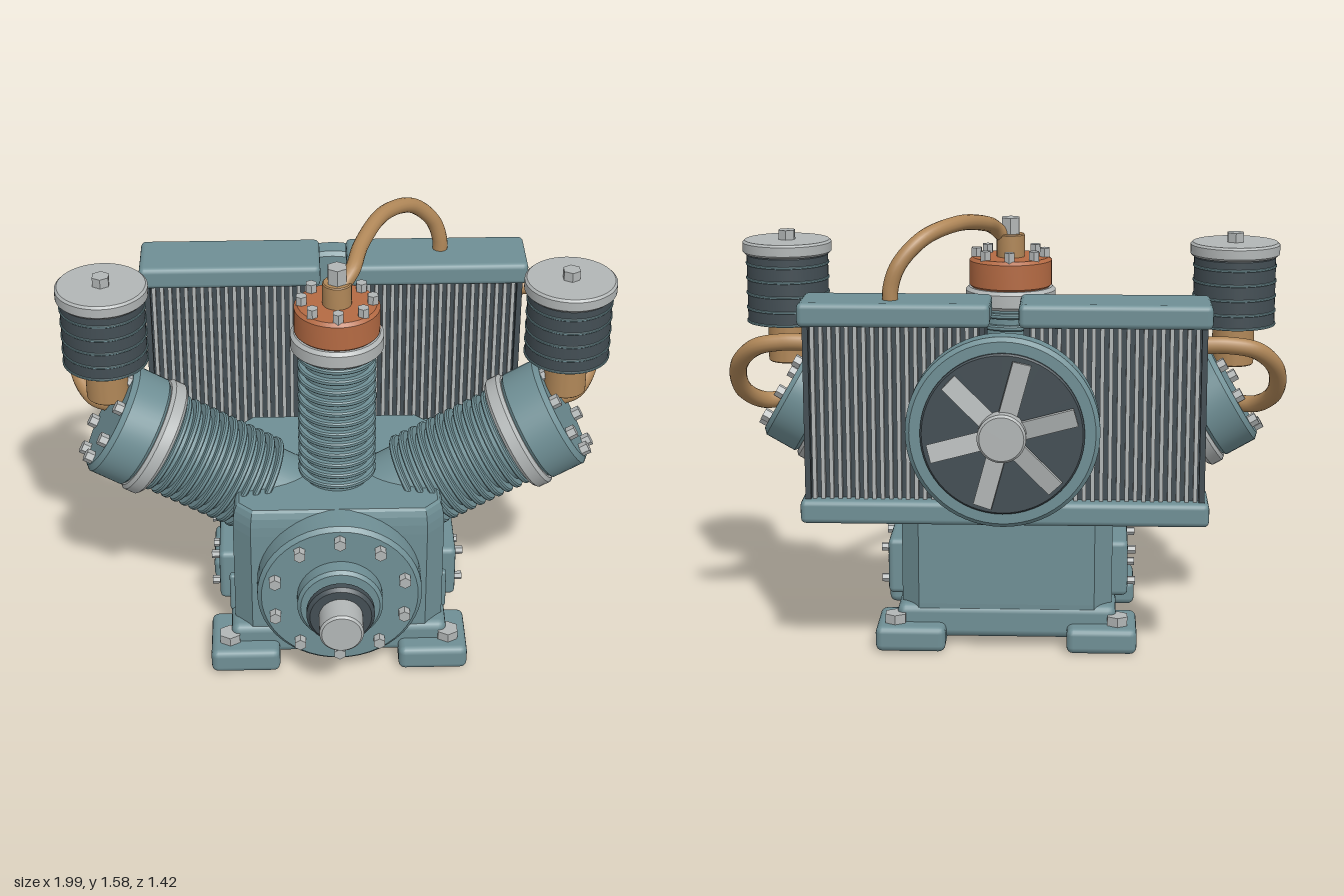
import * as THREE from 'three';
import { toCreasedNormals } from 'three/addons/utils/BufferGeometryUtils.js';
import { RoundedBoxGeometry } from 'three/addons/geometries/RoundedBoxGeometry.js';

const material = (name, color) => {
  const m = new THREE.MeshStandardMaterial({ color });
  m.name = name;
  return m;
};

export function createModel() {
  const teal = material('teal paint', 0x6f8f95);
  const dark = material('dark metal', 0x434e54);
  const steel = material('light steel', 0xb2b6b6);
  const copper = material('copper pipe', 0xb08758);
  const orange = material('orange head', 0xb46a43);
  const model = new THREE.Group();
  model.name = 'airCompressor';

  const add = (parent, name, geo, mat, x = 0, y = 0, z = 0) => {
    const m = new THREE.Mesh(geo, mat);
    m.name = name;
    m.position.set(x, y, z);
    parent.add(m);
    return m;
  };
  const group = (name, parent = model) => {
    const g = new THREE.Group();
    g.name = name;
    parent.add(g);
    return g;
  };
  // Bevelled disc standing on y0 and reaching y1
  const disc = (parent, name, r, y0, y1, mat, bevel = 0.012, sides = 48) => {
    const pts = [[0, y0], [r - bevel, y0], [r, y0 + bevel], [r, y1 - bevel], [r - bevel, y1], [0, y1]]
      .map(([a, b]) => new THREE.Vector2(a, b));
    return add(parent, name, toCreasedNormals(new THREE.LatheGeometry(pts, sides), 0.6), mat);
  };
  const box = (parent, name, w, h, d, mat, x, y, z, r = 0.02) =>
    add(parent, name, new RoundedBoxGeometry(w, h, d, 2, r), mat, x, y, z);
  const hex = (parent, name, r, h, x, y, z) =>
    add(parent, name, toCreasedNormals(new THREE.CylinderGeometry(r, r, h, 6), 0.5), steel, x, y + h / 2, z);
  const boltRing = (parent, count, ring, y, r = 0.022, h = 0.03) => {
    for (let i = 0; i < count; i++) {
      const a = (i / count) * Math.PI * 2;
      hex(parent, 'bolt', r, h, Math.sin(a) * ring, y, Math.cos(a) * ring);
    }
  };
  const pipe = (name, pts, r) => {
    const curve = new THREE.CatmullRomCurve3(pts.map(p => new THREE.Vector3(...p)));
    add(model, name, new THREE.TubeGeometry(curve, 48, r, 14), copper);
  };
  // Finned barrel along y
  const barrel = (parent, core, fin, y0, y1, first, count) => {
    disc(parent, 'barrelCore', core, y0, y1, teal, 0.002);
    const step = (y1 - first) / count;
    for (let i = 0; i < count; i++) {
      const y = first + i * step;
      disc(parent, 'coolingFin', fin, y, y + 0.02, teal, 0.005);
    }
  };

  // Crankcase: chamfered plan with a bevelled top
  const plan = new THREE.Shape();
  const [hw, hd, c] = [0.36, 0.31, 0.05];
  [[-hw + c, -hd], [hw - c, -hd], [hw, -hd + c], [hw, hd - c], [hw - c, hd], [-hw + c, hd], [-hw, hd - c], [-hw, -hd + c]]
    .forEach(([x, y], i) => (i ? plan.lineTo(x, y) : plan.moveTo(x, y)));
  const caseGeo = new THREE.ExtrudeGeometry(plan, {
    depth: 0.4, bevelEnabled: true, bevelThickness: 0.1, bevelSize: 0.025, bevelSegments: 4,
  });
  caseGeo.rotateX(-Math.PI / 2);
  add(model, 'crankcase', caseGeo, teal, 0, 0.17, 0.055);
  box(model, 'basePlate', 0.8, 0.125, 0.685, teal, 0, 0.103, 0.058, 0.03);

  // Feet, side covers and ribs
  for (const s of [1, -1]) {
    for (const z of [0.345, -0.228]) {
      box(model, 'foot', 0.255, 0.095, 0.255, teal, s * 0.348, 0.053, z, 0.025);
      hex(model, 'footBolt', 0.042, 0.035, s * 0.405, 0.1, z > 0 ? 0.388 : -0.28);
    }
    box(model, 'sideCover', 0.08, 0.21, 0.38, teal, s * 0.403, 0.27, 0.035, 0.02);
    box(model, 'sideRib', 0.06, 0.16, 0.03, teal, s * 0.375, 0.225, 0.255, 0.01);
    for (const y of [0.205, 0.325]) for (const z of [0.155, -0.082]) {
      const b = hex(model, 'coverBolt', 0.016, 0.035, s * 0.455, y, z);
      b.position.y = y;
      b.rotation.z = Math.PI / 2;
    }
  }

  // Front bearing flange and shaft; local y points to the front
  const front = group('driveEnd');
  front.position.set(0, 0.37, 0);
  front.rotation.x = Math.PI / 2;
  disc(front, 'bearingFlange', 0.3, 0.35, 0.485, teal, 0.015);
  disc(front, 'bearingCap', 0.155, 0.47, 0.55, teal, 0.012);
  disc(front, 'sealNeck', 0.085, 0.5, 0.6, dark);
  disc(front, 'sealRing', 0.123, 0.56, 0.608, dark);
  disc(front, 'driveShaft', 0.079, 0.56, 0.71, steel, 0.008);
  boltRing(front, 10, 0.247, 0.48, 0.023, 0.038);

  // Upright high-pressure cylinder
  const mid = group('centreCylinder');
  mid.position.z = 0.13;
  barrel(mid, 0.12, 0.142, 0.6, 1.22, 0.69, 12);
  disc(mid, 'headGasketRing', 0.167, 1.21, 1.28, steel);
  disc(mid, 'centreHead', 0.153, 1.275, 1.39, orange);
  boltRing(mid, 8, 0.126, 1.385, 0.021, 0.037);
  disc(mid, 'outletStub', 0.052, 1.38, 1.475, copper, 0.004, 24);
  hex(mid, 'outletNut', 0.037, 0.065, 0, 1.47, 0);

  // Inclined cylinders, intake filters and cross pipes
  for (const s of [1, -1]) {
    const side = group(s > 0 ? 'leftCylinder' : 'rightCylinder');
    side.position.set(0, 0.43, 0.09);
    side.rotation.z = -s * Math.PI / 3;
    barrel(side, 0.158, 0.188, 0.2, 0.75, 0.33, 11);
    disc(side, 'headRing', 0.22, 0.742, 0.807, steel);
    disc(side, 'cylinderHead', 0.21, 0.8, 0.955, teal, 0.018);
    boltRing(side, 8, 0.167, 0.95, 0.024, 0.035);

    const filter = group('intakeFilter');
    filter.position.set(s * 0.826, 0, 0.09);
    disc(filter, 'intakeStub', 0.077, 1.0, 1.16, copper, 0.004);
    disc(filter, 'filterBody', 0.15, 1.148, 1.41, dark, 0.01);
    for (const y of [1.15, 1.2, 1.255, 1.31, 1.365]) disc(filter, 'filterBand', 0.154, y, y + 0.009, teal, 0.002);
    disc(filter, 'filterCap', 0.164, 1.405, 1.455, steel, 0.008);
    hex(filter, 'filterNut', 0.033, 0.035, 0, 1.455, 0);

    pipe('sidePipe', [[0.82, 0.88, -0.03], [0.9, 0.885, -0.08], [0.96, 0.95, -0.18],
      [0.955, 1.06, -0.28], [0.88, 1.14, -0.355], [0.78, 1.162, -0.375], [0.68, 1.162, -0.375]]
      .map(([x, y, z]) => [s * x, y, z]), 0.031);

    // Radiator: two tanks, side plates, dark core and vertical tubes
    const rad = group('radiator');
    rad.position.set(s * 0.385, 0, -0.372);
    box(rad, 'topTank', 0.67, 0.085, 0.235, teal, 0, 1.278, 0);
    box(rad, 'bottomTank', 0.67, 0.085, 0.235, teal, 0, 0.572, 0);
    add(rad, 'core', new THREE.BoxGeometry(0.6, 0.64, 0.12), dark, 0, 0.925, 0);
    for (const e of [1, -1]) add(rad, 'sidePlate', new THREE.BoxGeometry(0.02, 0.64, 0.178), dark, e * 0.308, 0.925, 0);
    const tubeGeo = new THREE.BoxGeometry(0.014, 0.64, 0.16);
    for (let i = 0; i < 20; i++) add(rad, 'coolingTube', tubeGeo, steel, -0.285 + i * 0.03, 0.925, 0);
  }
  pipe('centrePipe', [[0.02, 1.46, 0.13], [0.055, 1.5, 0.09], [0.09, 1.535, -0.03], [0.18, 1.56, -0.22],
    [0.29, 1.525, -0.345], [0.37, 1.44, -0.39], [0.398, 1.36, -0.395], [0.4, 1.29, -0.395]], 0.028);

  // Cooling fan; local y points to the back
  const fan = group('coolingFan');
  fan.position.set(0, 0.9, 0);
  fan.rotation.x = -Math.PI / 2;
  disc(fan, 'fanShroud', 0.335, 0.527, 0.628, teal, 0.015, 64);
  disc(fan, 'fanBacking', 0.282, 0.6, 0.645, dark, 0.006, 64);
  for (let i = 0; i < 6; i++) {
    const arm = group('fanBlade', fan);
    arm.rotation.y = (i / 6) * Math.PI * 2 + 0.26;
    const blade = add(arm, 'blade', new THREE.BoxGeometry(0.2, 0.012, 0.065), steel, 0.16, 0.655, 0);
    blade.rotation.x = 0.2;
  }
  disc(fan, 'fanHub', 0.084, 0.63, 0.708, steel, 0.008);
  return model;
}
